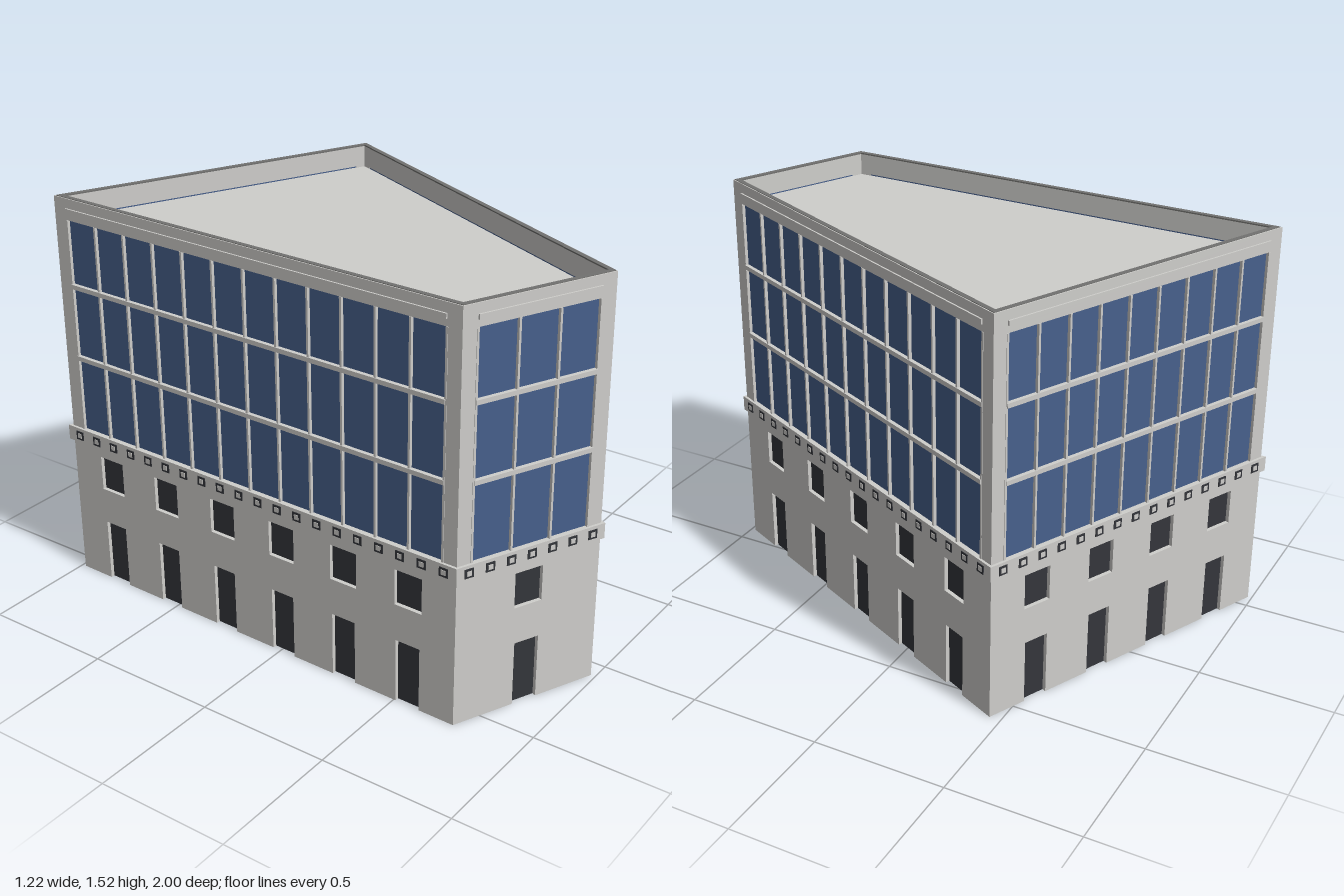
import * as THREE from 'three';

const mat = (name, color) => Object.assign(new THREE.MeshStandardMaterial({ color }), { name });
const stone = mat('pale stone', 0xcfcecb);
const glass = mat('blue glass', 0x47608c);
const dark = mat('dark openings', 0x34363b);
const cap = mat('grey coping', 0x727270);

// Footprint corners [x, z], starting at the front-left corner
const corners = [[-0.597, 0.745], [-0.073, 0.983], [0.594, -0.457], [-0.56, -0.985]]
  .map(([x, z]) => new THREE.Vector2(x, z));
const columns = [3, 11, 9, 12];  // glazing bays per wall
const doors = [1, 5, 4, 6];      // ground floor openings per wall
const TOP = 1.515, THICK = 0.02, MARGIN = 0.056;
const GLASS_LOW = 0.615, GLASS_HIGH = 1.435;

const at = (i) => corners[(i + 4) % 4];
const tangent = (i) => at(i + 1).clone().sub(at(i)).normalize();
const outward = (i) => { const t = tangent(i); return new THREE.Vector2(-t.y, t.x); };

// Footprint grown (d > 0) or shrunk (d < 0), as shape points
function outline(d) {
  return corners.map((p, i) => {
    const a = outward(i - 1 + 4), b = outward(i);
    const q = p.clone().addScaledVector(a.clone().add(b), d / (1 + a.dot(b)));
    return new THREE.Vector2(q.x, -q.y);
  });
}

// Horizontal slab or ring following the footprint
function slab(name, material, outer, inner, y, height) {
  const shape = new THREE.Shape(outline(outer));
  if (inner !== null) shape.holes.push(new THREE.Path(outline(inner)));
  const geo = new THREE.ExtrudeGeometry(shape, { depth: height, bevelEnabled: false });
  geo.rotateX(-Math.PI / 2).translate(0, y, 0);
  const mesh = new THREE.Mesh(geo, material);
  mesh.name = name;
  return mesh;
}

function box(parent, name, material, x, y, w, h, z0, z1) {
  const mesh = new THREE.Mesh(new THREE.BoxGeometry(w, h, z1 - z0), material);
  mesh.position.set(x, y, (z0 + z1) / 2);
  mesh.name = name;
  parent.add(mesh);
}

function rectHole(x0, x1, y0, y1) {
  return new THREE.Path([[x0, y0], [x0, y1], [x1, y1], [x1, y0]].map((p) => new THREE.Vector2(...p)));
}

// cot of half the interior angle at a corner, for mitring wall ends
function mitre(i) {
  const angle = Math.acos(-tangent(i).dot(tangent(i + 3)));
  return 1 / Math.tan(angle / 2);
}

function buildWall(i) {
  const wall = new THREE.Group();
  const length = at(i).distanceTo(at(i + 1));
  const t = tangent(i), n = doors[i];
  const centres = Array.from({ length: n }, (_, k) => length * (k + 0.7) / (n + 0.4));
  const doorW = 0.097, doorH = 0.245, winW = 0.11, winLow = 0.385, winHigh = 0.52;

  // Wall panel with door notches, window holes and one large glazed opening
  const shape = new THREE.Shape();
  shape.moveTo(0, 0);
  for (const c of centres) {
    shape.lineTo(c - doorW / 2, 0);
    shape.lineTo(c - doorW / 2, doorH);
    shape.lineTo(c + doorW / 2, doorH);
    shape.lineTo(c + doorW / 2, 0);
    shape.holes.push(rectHole(c - winW / 2, c + winW / 2, winLow, winHigh));
  }
  shape.lineTo(length, 0);
  shape.lineTo(length, TOP);
  shape.lineTo(0, TOP);
  shape.holes.push(rectHole(MARGIN, length - MARGIN, GLASS_LOW, GLASS_HIGH));
  const geo = new THREE.ExtrudeGeometry(shape, { depth: THICK, bevelEnabled: false });
  geo.translate(0, 0, -THICK);
  const pos = geo.attributes.position;
  for (let v = 0; v < pos.count; v++) {
    const x = pos.getX(v), z = pos.getZ(v);
    if (x < 1e-4) pos.setX(v, x - z * mitre(i));
    if (x > length - 1e-4) pos.setX(v, x + z * mitre(i + 1));
  }
  geo.computeVertexNormals();
  const panel = new THREE.Mesh(geo, stone);
  panel.name = 'wallPanel';
  wall.add(panel);

  // Recessed doors and windows
  for (const c of centres) {
    box(wall, 'door', dark, c, doorH / 2, doorW, doorH, -0.021, -0.015);
    box(wall, 'window', dark, c, (winLow + winHigh) / 2, winW, winHigh - winLow, -0.021, -0.015);
  }

  // Curtain glazing with mullions and floor rails
  const span = length - 2 * MARGIN, glassH = GLASS_HIGH - GLASS_LOW;
  const midY = (GLASS_LOW + GLASS_HIGH) / 2;
  box(wall, 'glazing', glass, length / 2, midY, span, glassH, -0.018, -0.01);
  for (let k = 0; k <= columns[i]; k++) {
    box(wall, 'mullion', stone, MARGIN + span * k / columns[i], midY, 0.008, glassH, -0.012, 0.002);
  }
  for (const y of [0.905, 1.185]) {
    box(wall, 'floorRail', stone, length / 2, y, span, 0.017, -0.012, 0.005);
  }
  box(wall, 'topMoulding', stone, length / 2, 1.47, span, 0.018, -0.004, 0.006);

  // Square ornaments along the band
  const count = Math.round(length / 0.086);
  for (let k = 0; k < count; k++) {
    const x = length * (k + 0.5) / count;
    box(wall, 'bandOrnament', dark, x, 0.586, 0.035, 0.034, 0.008, 0.0125);
    box(wall, 'ornamentCentre', stone, x, 0.586, 0.018, 0.018, 0.01, 0.0145);
  }

  wall.position.set(at(i).x, 0, at(i).y);
  wall.rotation.y = Math.atan2(-t.y, t.x);
  wall.name = ['frontWall', 'rightWall', 'backWall', 'leftWall'][i];
  return wall;
}

export function createModel() {
  const model = new THREE.Group();
  model.name = 'cornerBuilding';
  for (let i = 0; i < 4; i++) model.add(buildWall(i));
  model.add(slab('corniceBand', stone, 0.01, -0.005, 0.557, 0.058));
  model.add(slab('roof', stone, -0.015, null, 1.42, 0.01));
  model.add(slab('parapetCoping', cap, -0.004, -0.022, TOP - 0.003, 0.005));
  return model;
}
